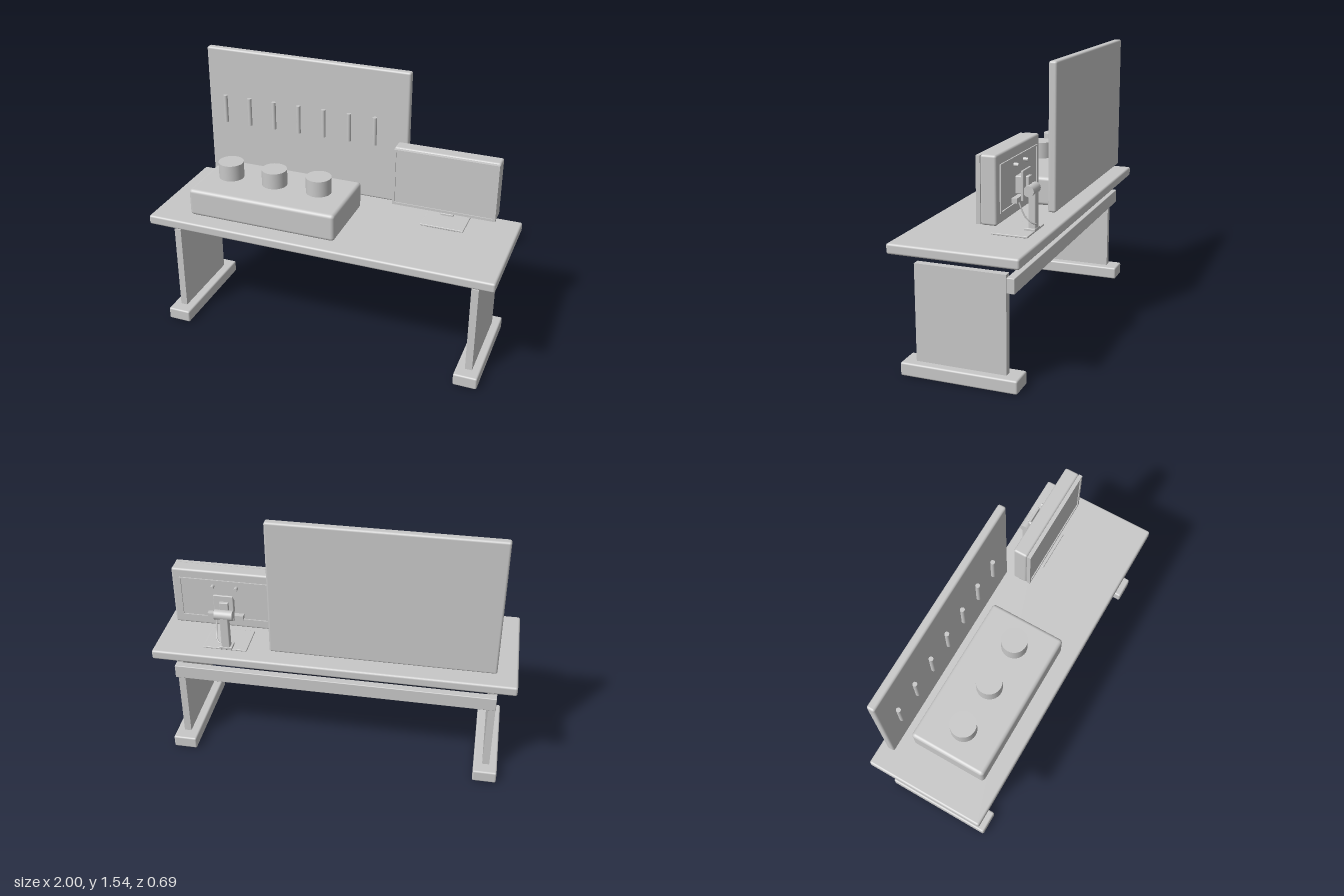
import * as THREE from 'three';
import { RoundedBoxGeometry } from 'three/addons/geometries/RoundedBoxGeometry.js';

export function createModel() {
  const model = new THREE.Group();
  model.name = 'workbench';
  const grey = new THREE.MeshStandardMaterial({ color: 0xc8c8c8 });
  grey.name = 'plain grey';

  const add = (name, geometry, x = 0, y = 0, z = 0, parent = model) => {
    const mesh = new THREE.Mesh(geometry, grey);
    mesh.name = name;
    mesh.position.set(x, y, z);
    parent.add(mesh);
    return mesh;
  };
  // Box from its extents, with rounded edges when r > 0
  const box = (name, [x0, x1], [y0, y1], [z0, z1], r = 0, parent = model) => {
    const size = [x1 - x0, y1 - y0, z1 - z0];
    const geometry = r > 0 ? new RoundedBoxGeometry(...size, 3, r) : new THREE.BoxGeometry(...size);
    return add(name, geometry, (x0 + x1) / 2, (y0 + y1) / 2, (z0 + z1) / 2, parent);
  };
  // Rectangular ring, extruded from z0 to z1
  const frame = (name, w, h, border, x, y, z0, z1, parent) => {
    const rect = (Shape, a, b) => new Shape([[-a, -b], [a, -b], [a, b], [-a, b]].map(p => new THREE.Vector2(...p)));
    const shape = rect(THREE.Shape, w / 2, h / 2);
    shape.holes.push(rect(THREE.Path, w / 2 - border, h / 2 - border));
    return add(name, new THREE.ExtrudeGeometry(shape, { depth: z1 - z0, bevelEnabled: false }), x, y, z0, parent);
  };
  const cylinder = (name, r, length, x, y, z, parent, axis = 'y') => {
    const geometry = new THREE.CylinderGeometry(r, r, length, 32);
    if (axis === 'x') geometry.rotateZ(Math.PI / 2);
    if (axis === 'z') geometry.rotateX(Math.PI / 2);
    return add(name, geometry, x, y, z, parent);
  };

  // Table
  box('tabletop', [-1, 1], [0.655, 0.71], [-0.345, 0.345], 0.012);
  for (const side of [-1, 1]) {
    const label = side > 0 ? 'left' : 'right';
    const span = (a, b) => (side > 0 ? [a, b] : [-b, -a]);
    box(label + 'LegPanel', span(0.86, 0.9), [0.06, 0.59], [-0.24, 0.247]);
    box(label + 'Foot', span(0.81, 0.945), [0, 0.072], [-0.312, 0.317], 0.01);
  }
  box('rearCrossbar', [-0.9, 0.9], [0.495, 0.575], [-0.283, -0.24], 0.004);

  // Back board with a row of hanging rods
  box('backBoard', [-0.885, 0.342], [0.75, 1.537], [-0.295, -0.25], 0.012);
  for (let i = 0; i < 7; i++) {
    cylinder('hangingRod', 0.0125, 0.165, -0.77 + i * 0.1535, 1.18, -0.226, model);
  }

  // Case with three round pots hovering just above it
  box('deskCase', [-0.785, 0.09], [0.71, 0.87], [-0.193, 0.25], 0.02);
  for (const x of [-0.617, -0.348, -0.08]) cylinder('pot', 0.072, 0.093, x, 0.933, 0.037, model);

  // Monitor: housing, front bezel and recessed screen
  const monitor = new THREE.Group();
  monitor.name = 'monitor';
  model.add(monitor);
  box('housing', [0.306, 0.892], [0.82, 1.16], [-0.19, -0.108], 0.012, monitor);
  frame('bezel', 0.582, 0.332, 0.014, 0.6, 0.989, -0.108, -0.086, monitor);
  box('screen', [0.32, 0.88], [0.83, 1.148], [-0.108, -0.092], 0, monitor);
  frame('rearTrim', 0.5, 0.24, 0.008, 0.6, 0.99, -0.197, -0.188, monitor);
  box('portStrip', [0.5, 0.7], [0.885, 0.91], [-0.218, -0.188], 0, monitor);
  box('mountBlock', [0.55, 0.65], [0.92, 1.01], [-0.23, -0.188], 0.005, monitor);
  box('mountPlate', [0.545, 0.655], [0.885, 1.04], [-0.234, -0.222], 0.004, monitor);
  for (const x of [0.535, 0.665]) {
    for (const y of [0.9, 1.07]) cylinder('mountScrew', 0.01, 0.025, x, y, -0.203, monitor, 'z');
  }

  // Stand
  const stand = new THREE.Group();
  stand.name = 'monitorStand';
  model.add(stand);
  cylinder('pivot', 0.028, 0.1, 0.595, 0.935, -0.257, stand, 'x');
  box('pivotArm', [0.57, 0.62], [0.92, 1.005], [-0.25, -0.228], 0.004, stand);
  box('neck', [0.567, 0.615], [0.735, 0.94], [-0.283, -0.245], 0.006, stand);
  box('neckCollar', [0.555, 0.627], [0.727, 0.742], [-0.285, -0.225], 0.003, stand);
  box('basePlate', [0.475, 0.72], [0.72, 0.73], [-0.28, -0.087], 0.003, stand);
  box('basePad', [0.505, 0.685], [0.708, 0.721], [-0.265, -0.1], 0, stand);
  const path = new THREE.CatmullRomCurve3([[0.65, 0.89, -0.205], [0.648, 0.81, -0.24], [0.635, 0.775, -0.275],
    [0.612, 0.765, -0.288]].map(p => new THREE.Vector3(...p)));
  add('cable', new THREE.TubeGeometry(path, 20, 0.004, 8), 0, 0, 0, stand);

  return model;
}
